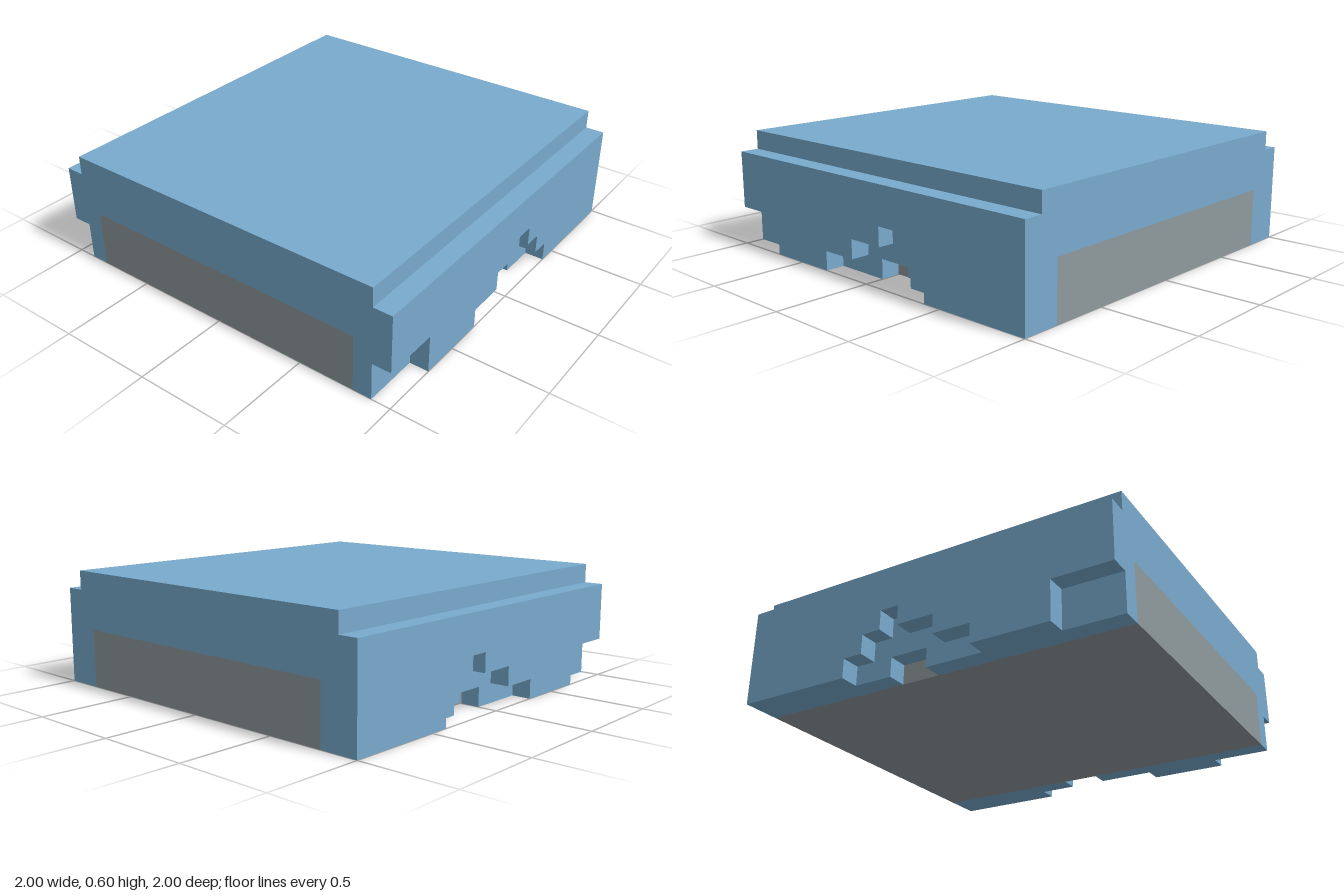
import * as THREE from 'three';

const mat = (name, color) => {
  const m = new THREE.MeshStandardMaterial({ color });
  m.name = name;
  return m;
};

export function createModel() {
  const blue = mat('blue', 0x78aacd);
  const grey = mat('grey', 0x8f999c);
  const model = new THREE.Group();
  model.name = 'steppedBlock';

  // full-width block spanning y0..y1 between the two walls
  const block = (name, y0, y1, material) => {
    const mesh = new THREE.Mesh(new THREE.BoxGeometry(2, y1 - y0, 1.6), material);
    mesh.name = name;
    mesh.position.y = (y0 + y1) / 2;
    model.add(mesh);
  };

  // 0.1 thick slab from an x/y outline, its back face at z
  const slab = (name, points, z) => {
    const shape = new THREE.Shape(points.map(([x, y]) => new THREE.Vector2(x, y)));
    const geo = new THREE.ExtrudeGeometry(shape, { depth: 0.1, bevelEnabled: false });
    const mesh = new THREE.Mesh(geo, blue);
    mesh.name = name;
    mesh.position.z = z;
    model.add(mesh);
  };

  block('greyBase', 0, 0.3, grey);
  block('roof', 0.3, 0.6, blue);

  // wall with a small opening onto the grey base
  const wall = [
    [-1, 0], [0, 0], [0, 0.1], [0.2, 0.1], [0.2, 0], [1, 0], [1, 0.6], [-1, 0.6],
  ];
  // lower outer skirt with a corner notch and a stepped central notch
  const skirt = [
    [-1, 0.2], [-0.7, 0.2], [-0.7, 0], [-0.3, 0], [-0.3, 0.1], [-0.1, 0.1],
    [-0.1, 0.2], [0.1, 0.2], [0.1, 0.3], [0.2, 0.3], [0.2, 0.2], [0.3, 0.2],
    [0.3, 0.1], [0.4, 0.1], [0.4, 0], [1, 0], [1, 0.5], [-1, 0.5],
  ];
  slab('frontWall', wall, 0.8);
  slab('backWall', wall, -0.9);
  slab('frontSkirt', skirt, 0.9);
  slab('backSkirt', skirt, -1);

  return model;
}
